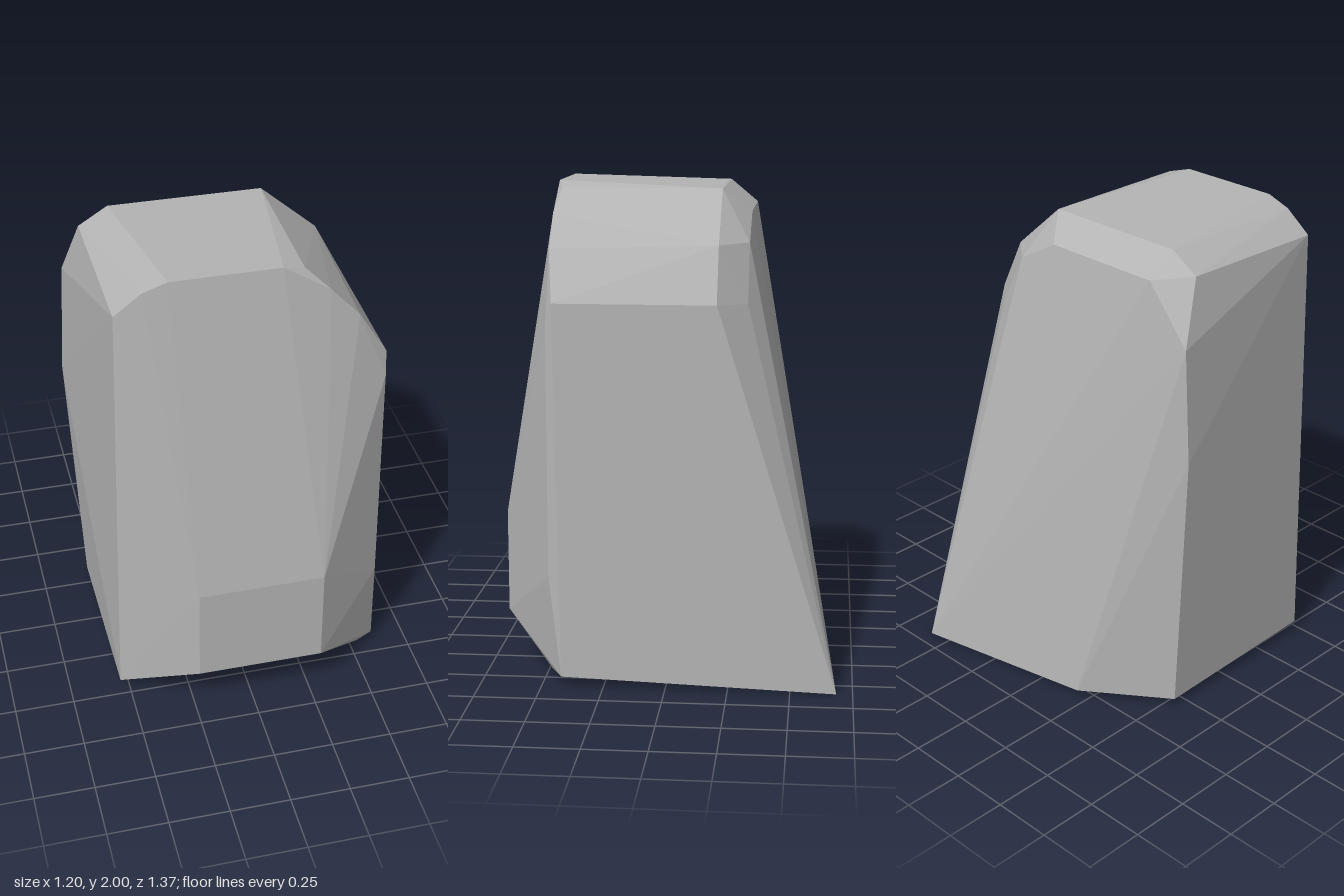
import * as THREE from 'three';
import { ConvexGeometry } from 'three/addons/geometries/ConvexGeometry.js';

// Corner rings of the faceted block, each as [x, y] pairs at a depth z
const rings = [
  // raised front panel
  { z: 0.685, xy: [[-0.24, 0.64], [0.285, 0.64], [0.285, 0.22], [-0.24, 0.22]] },
  // front rim
  { z: 0.47, xy: [[-0.54, 0.05], [-0.51, 1.88], [-0.4, 1.965], [-0.3, 2], [0.14, 2],
    [0.33, 1.88], [0.45, 1.75], [0.57, 1.45], [0.58, 0.45], [0.52, 0.05]] },
  { z: 0.445, xy: [[0.23, 1.975], [0.575, 1.55]] },
  { z: 0.42, xy: [[0.6, 0.04]] },
  // top and shoulder edge
  { z: -0.2, xy: [[-0.52, 1.9], [-0.4, 1.975], [0.23, 1.975], [0.465, 1.77], [0.575, 1.55]] },
  // rear bevel
  { z: -0.315, xy: [[-0.545, 0.035], [-0.603, 1.17], [-0.58, 1.65], [-0.39, 1.88],
    [0.14, 1.88], [0.33, 1.77], [0.45, 1.54]] },
  // rear base corners
  { z: -0.55, xy: [[-0.2, 0.025]] },
  { z: -0.685, xy: [[0.6, 0]] },
];

export function createModel() {
  const group = new THREE.Group();
  group.name = 'facetedBlock';
  const stone = new THREE.MeshStandardMaterial({ color: 0xb4b4b4 });
  stone.name = 'stone grey';
  const points = rings.flatMap(({ z, xy }) => xy.map(([x, y]) => new THREE.Vector3(x, y, z)));
  const block = new THREE.Mesh(new ConvexGeometry(points), stone);
  block.name = 'block';
  group.add(block);
  return group;
}
